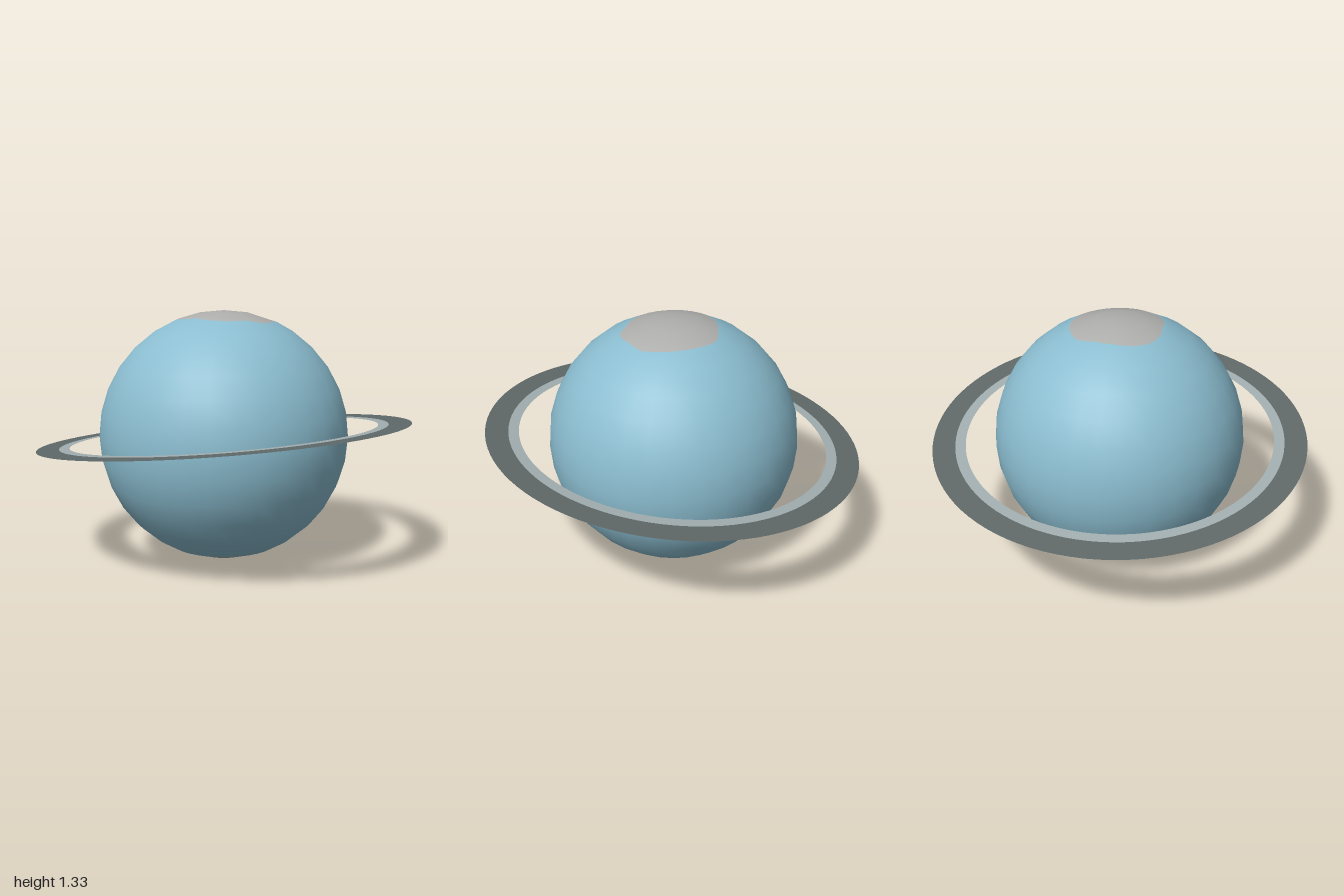
import * as THREE from 'three';

const RADIUS = 0.665;
const CENTRE_Y = 0.67;
const SEGMENTS = 32;
const ROWS = 16;

// Distance of the ragged north cap's edge from the axis, every 22.5 degrees from +x towards +z
const NORTH_EDGE = [0.28, 0.24, 0.246, 0.235, 0.218, 0.235, 0.25, 0.24,
  0.227, 0.228, 0.258, 0.255, 0.258, 0.268, 0.285, 0.27];
const SOUTH_EDGE = 0.28;

function northEdge(column) {
  const i = Math.floor(column / 2) % 16;
  return column % 2 ? (NORTH_EDGE[i] + NORTH_EDGE[(i + 1) % 16]) / 2 : NORTH_EDGE[i];
}

// Polar angle of a grid point; the rows that border the caps follow the cap edges
function polarAngle(row, column) {
  if (row === 2) return Math.asin(northEdge(column % SEGMENTS) / RADIUS);
  if (row === ROWS - 2) return Math.PI - Math.asin(SOUTH_EDGE / RADIUS);
  return (Math.PI * row) / ROWS;
}

// Smooth band of the sphere between two rows
function sphereBand(firstRow, lastRow) {
  const positions = [], normals = [], index = [];
  const stride = SEGMENTS + 1;
  for (let row = firstRow; row <= lastRow; row++) {
    for (let column = 0; column <= SEGMENTS; column++) {
      const theta = polarAngle(row, column);
      const phi = (2 * Math.PI * column) / SEGMENTS;
      const n = [Math.sin(theta) * Math.cos(phi), Math.cos(theta), Math.sin(theta) * Math.sin(phi)];
      normals.push(...n);
      positions.push(...n.map((v) => v * RADIUS));
    }
  }
  for (let r = 0; r < lastRow - firstRow; r++) {
    for (let c = 0; c < SEGMENTS; c++) {
      const a = r * stride + c, b = a + stride;
      if (firstRow + r > 0) index.push(a, a + 1, b);
      if (firstRow + r < ROWS - 1) index.push(a + 1, b + 1, b);
    }
  }
  const geometry = new THREE.BufferGeometry();
  geometry.setAttribute('position', new THREE.Float32BufferAttribute(positions, 3));
  geometry.setAttribute('normal', new THREE.Float32BufferAttribute(normals, 3));
  geometry.setIndex(index);
  return geometry;
}

function material(name, color, side = THREE.FrontSide) {
  const m = new THREE.MeshStandardMaterial({ color, side });
  m.name = name;
  return m;
}

export function createModel() {
  const model = new THREE.Group();
  model.name = 'ringedPlanet';
  const blue = material('pale blue', 0x8bbdd0);
  const grey = material('polar grey', 0xaeafad);
  const darkRing = material('dark ring grey', 0x606a69, THREE.DoubleSide);
  const lightRing = material('light ring grey', 0xa2afb0, THREE.DoubleSide);

  function add(parent, name, geometry, mat) {
    const mesh = new THREE.Mesh(geometry, mat);
    mesh.name = name;
    parent.add(mesh);
  }

  // Planet with its two polar caps
  const planet = new THREE.Group();
  planet.name = 'planet';
  planet.position.y = CENTRE_Y;
  add(planet, 'northCap', sphereBand(0, 2), grey);
  add(planet, 'planetBody', sphereBand(2, ROWS - 2), blue);
  add(planet, 'southCap', sphereBand(ROWS - 2, ROWS), grey);
  model.add(planet);

  // Thin flat rings, raised on the +x side
  const rings = new THREE.Group();
  rings.name = 'rings';
  rings.position.y = CENTRE_Y;
  rings.rotation.z = THREE.MathUtils.degToRad(5.8);
  const flatRing = (inner, outer) => new THREE.RingGeometry(inner, outer, 96).rotateX(-Math.PI / 2);
  add(rings, 'innerRing', flatRing(0.825, 0.88), lightRing);
  add(rings, 'outerRing', flatRing(0.88, 1), darkRing);
  model.add(rings);

  return model;
}
